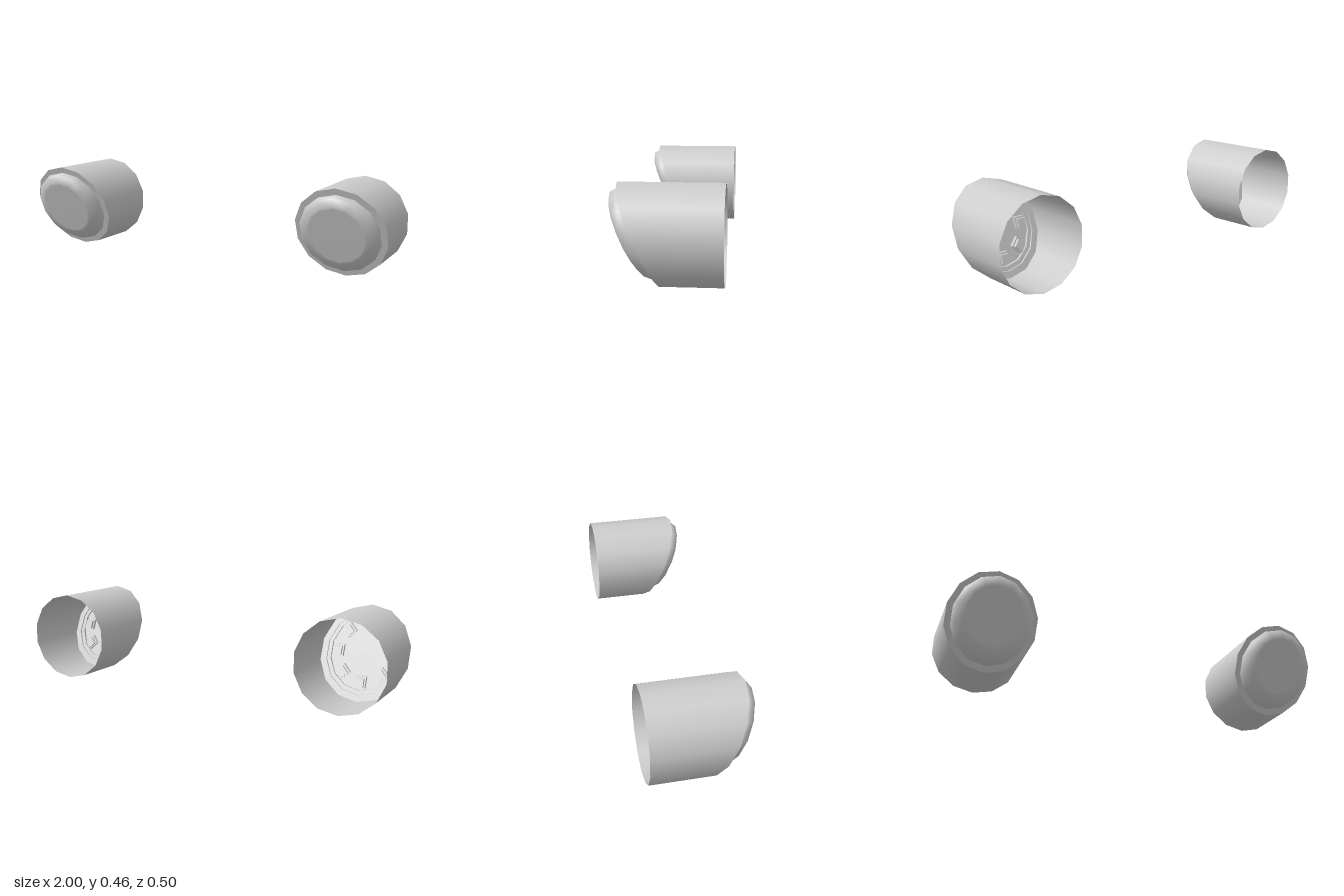
import * as THREE from 'three';

const SIDES = 14, RADIUS = 0.228, LENS_RADIUS = 0.197;
const SLOPE = 0.435, FRONT_Z = 0.119, BACK_Z = -0.25;

export function createModel() {
  const grey = new THREE.MeshStandardMaterial({ color: 0xcccccc, side: THREE.DoubleSide });
  grey.name = 'lightGrey';
  const root = new THREE.Group();
  root.name = 'lampPair';

  // leans a part so that it follows the raked front plane
  const rake = new THREE.Matrix4().makeShear(0, 0, 0, SLOPE, 0, 0);
  const add = (group, name, geometry) => {
    const mesh = new THREE.Mesh(geometry, grey);
    mesh.name = name;
    group.add(mesh);
  };
  const lathe = (points) => new THREE.LatheGeometry(
    points.map(([r, h]) => new THREE.Vector2(r, h)), SIDES).rotateX(Math.PI / 2);

  function lamp(name, x) {
    const group = new THREE.Group();
    group.name = name;
    group.position.set(x, 0.2225 + 0.0055, 0);

    // open tube, its front end cut at a slant
    const tube = new THREE.CylinderGeometry(RADIUS, RADIUS, 1, SIDES, 1, true).rotateX(Math.PI / 2);
    const p = tube.attributes.position;
    for (let i = 0; i < p.count; i++) {
      p.setZ(i, p.getZ(i) > 0 ? FRONT_Z + SLOPE * p.getY(i) : BACK_Z);
    }
    add(group, 'housingTube', tube);

    // parts lying in the slanted front plane
    const front = new THREE.Group();
    front.name = 'frontAssembly';
    front.position.z = FRONT_Z;
    group.add(front);

    add(front, 'rim', new THREE.RingGeometry(LENS_RADIUS, RADIUS, SIDES, 1, Math.PI / 2).applyMatrix4(rake));

    // rounded lens
    add(front, 'lens', lathe([
      [LENS_RADIUS, 0], [LENS_RADIUS, 0.018], [0.184, 0.05], [0.148, 0.067], [0.135, 0.068], [0, 0.068],
    ]).applyMatrix4(rake));

    // stepped plate behind the lens
    add(front, 'backPlateStep', new THREE.RingGeometry(0.178, LENS_RADIUS, SIDES, 1, Math.PI / 2)
      .rotateY(Math.PI).translate(0, 0, 0.008).applyMatrix4(rake));
    add(front, 'backPlateWall', new THREE.CylinderGeometry(0.178, 0.178, 0.012, SIDES, 1, true)
      .rotateX(Math.PI / 2).translate(0, 0, 0.014).applyMatrix4(rake));
    add(front, 'backPlate', new THREE.CircleGeometry(0.178, SIDES, Math.PI / 2)
      .rotateY(Math.PI).translate(0, 0, 0.02).applyMatrix4(rake));

    // ring of small blocks on the back of the plate
    for (let i = 0; i < 8; i++) {
      const place = (w, d, z) => new THREE.BoxGeometry(w, w, d)
        .translate(0.138, 0, z).rotateZ(i * Math.PI / 4).applyMatrix4(rake);
      add(front, 'blockBase', place(0.054, 0.016, 0.012));
      add(front, 'blockTop', place(0.04, 0.014, -0.003));
    }
    root.add(group);
  }

  lamp('leftLamp', 0.778);
  lamp('rightLamp', -0.778);
  return root;
}
